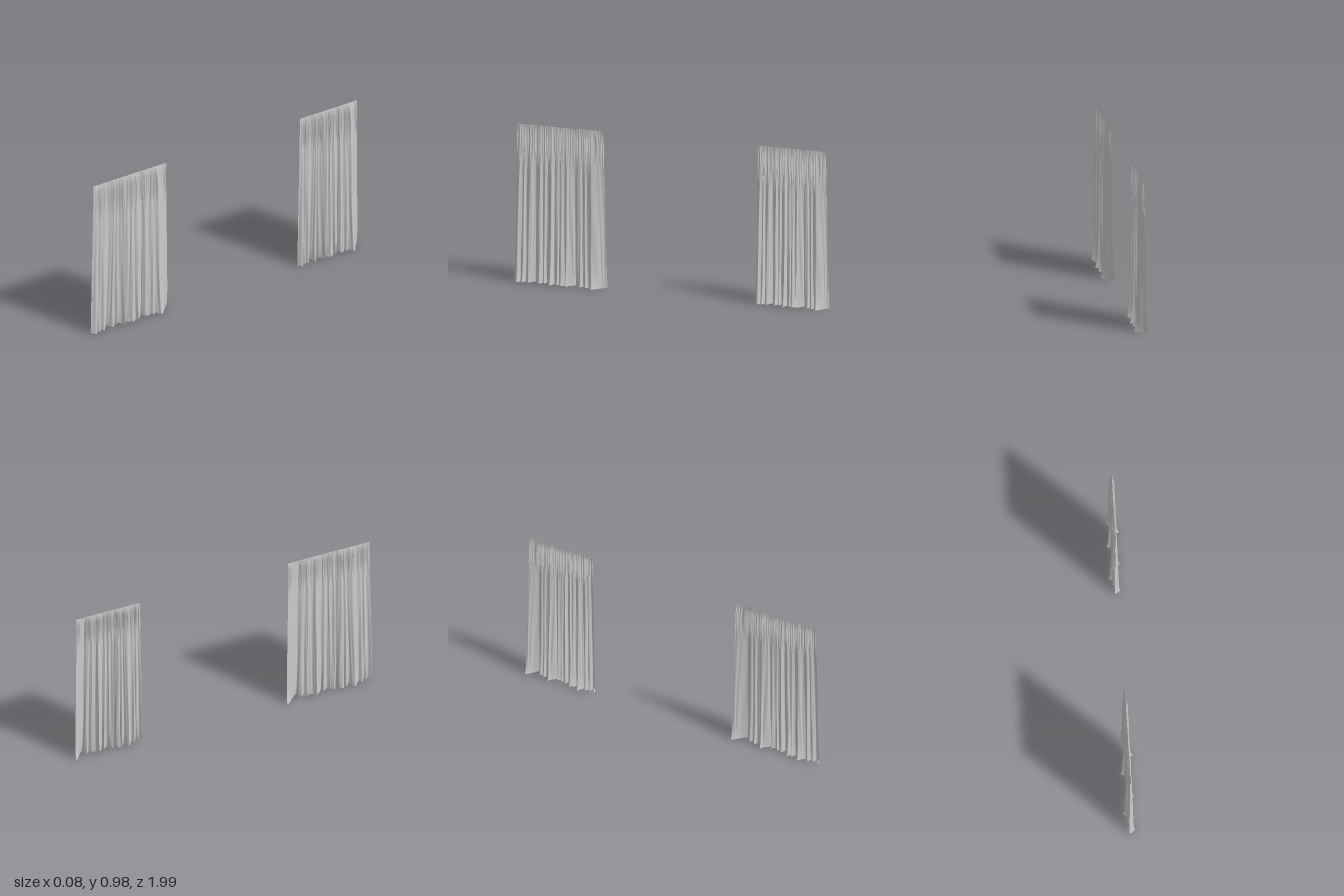
import * as THREE from 'three';

// Pleat line along the hem: [position along the width, depth]
const HEM = [
  [.41, -.033], [.43, -.02], [.45, 0], [.49, .037], [.502, .02], [.52, 0], [.535, .014], [.553, -.01],
  [.57, .01], [.59, 0], [.605, -.033], [.62, -.015], [.64, .005], [.655, .027], [.67, .003], [.69, .02],
  [.705, -.002], [.72, .014], [.735, -.006], [.755, .032], [.77, 0], [.785, -.02], [.80, .002],
  [.815, -.015], [.83, .01], [.845, -.01], [.865, -.033], [.88, -.01], [.90, .01], [.92, -.01],
  [.935, .015], [.95, 0], [.968, .025], [.99, 0],
];
// How far the folds open at each height: [y, share of the hem depth]
const OPENING = [[0, 1], [.015, .9], [.05, .75], [.1, .67], [.3, .57], [.5, .49], [.7, .39],
  [.8, .32], [.88, .25], [.93, .18], [.96, .11], [.98, .02]];
const HEIGHT = .98;
const COLS = 300;

function opening(y) {
  for (let i = 1; i < OPENING.length; i++) {
    const [y0, a] = OPENING[i - 1], [y1, b] = OPENING[i];
    if (y <= y1) return a + (b - a) * (y - y0) / (y1 - y0);
  }
  return OPENING[OPENING.length - 1][1];
}

const hemCurve = new THREE.CatmullRomCurve3(
  HEM.map(([z, x]) => new THREE.Vector3(x, 0, (z - .7) / .29)), false, 'catmullrom', .35);
const hemPoints = Array.from({ length: COLS + 1 }, (_, i) => hemCurve.getPoint(i / COLS));

// A point of the cloth; side is +1 or -1 for the two faces of the fabric
function clothPoint(col, y, side, halfWidth) {
  const h = hemPoints[col], t = col / COLS, open = opening(y);
  const gather = THREE.MathUtils.smoothstep(y, .6, .9) * Math.min(1, (HEIGHT - y) / .05);
  const crinkle = .003 * gather * Math.sin(t * 330 + 3 * Math.sin(t * 41) + 5 * Math.sin(y * 9));
  const ripple = .0025 * (1 - y) * Math.sin(t * 190 + 2 * Math.sin(y * 4 + t * 23)) * Math.min(1, y * 6);
  const x = h.x * open + crinkle + ripple + side * .005 * open;
  const sway = .004 * Math.sin(t * 70 + y * 3) * Math.sin(Math.PI * t) * (1 - y);
  const z = h.z * halfWidth * (1 - .065 * y / HEIGHT) + sway;
  return [x, y, z];
}

// Smooth surface strip through rows of [height, side]
function clothSurface(rows, halfWidth) {
  const pos = [], index = [], n = COLS + 1;
  for (const [y, side] of rows)
    for (let c = 0; c < n; c++) pos.push(...clothPoint(c, y, side, halfWidth));
  for (let r = 0; r < rows.length - 1; r++)
    for (let c = 0; c < COLS; c++) {
      const a = r * n + c, b = a + n;
      index.push(a, b, a + 1, b, b + 1, a + 1);
    }
  const g = new THREE.BufferGeometry();
  g.setAttribute('position', new THREE.Float32BufferAttribute(pos, 3));
  g.setIndex(index);
  g.computeVertexNormals();
  return g;
}

export function createModel() {
  const model = new THREE.Group();
  const fabric = new THREE.MeshStandardMaterial({ color: 0xcccccc, side: THREE.DoubleSide });

  // Row heights, closer together near the hem and the gathered top
  const heights = Array.from({ length: 31 }, (_, i) => HEIGHT * (1 - Math.cos(Math.PI * i / 30)) / 2);

  function addCurtain(name, centerZ, halfWidth) {
    const curtain = new THREE.Group();
    curtain.name = name;
    const add = (part, rows) => {
      const mesh = new THREE.Mesh(clothSurface(rows, halfWidth), fabric);
      mesh.name = part;
      curtain.add(mesh);
    };
    // Two faces of cloth, hanging from the gathered top
    add('clothLeftFace', heights.map(y => [y, 1]));
    add('clothRightFace', [...heights].reverse().map(y => [y, -1]));
    // Underside of the hem and the closed top edge
    add('hem', [[0, -1], [0, 1]]);
    add('topEdge', [[HEIGHT, 1], [HEIGHT, -1]]);
    curtain.position.z = centerZ;
    model.add(curtain);
  }

  addCurtain('wideCurtain', .70, .29);
  addCurtain('narrowCurtain', -.772, .228);
  return model;
}
